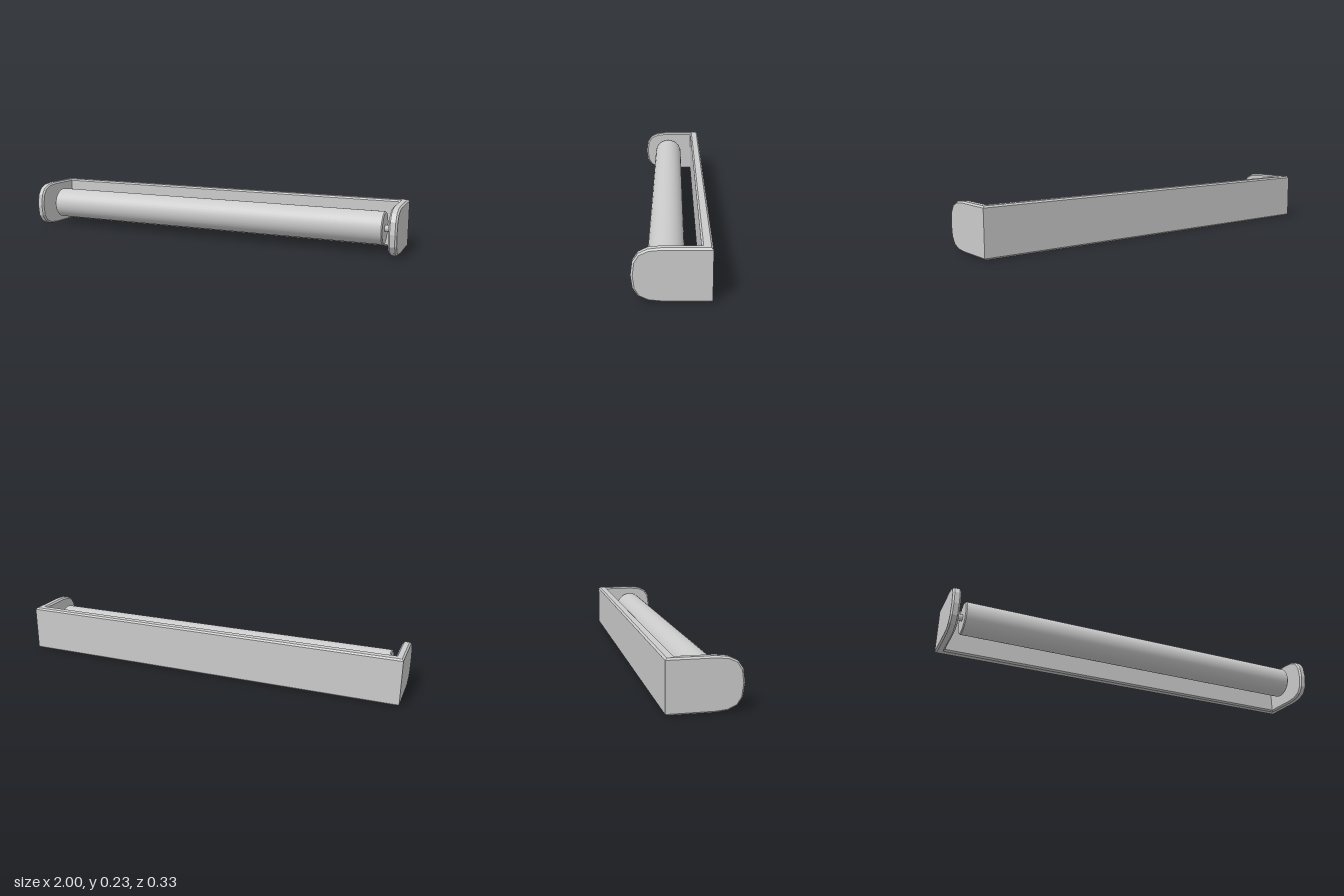
import * as THREE from 'three';
import { toCreasedNormals } from 'three/addons/utils/BufferGeometryUtils.js';

const H = 0.235, B = 0.008, BACK = -0.165;
const material = new THREE.MeshStandardMaterial({ color: 0xcccccc });

// Complete an upper half outline of [z, y] by mirroring it about mid height
const mirrorY = (half) => [
  ...half,
  ...half.filter(([, y]) => y !== H / 2).reverse().map(([z, y]) => [z, H - y]),
];

// Join convex [z, y] outlines placed at rising x, and cap both ends
function loft(rings) {
  const pos = [];
  const tri = (...corners) => corners.forEach(([x, [z, y]]) => pos.push(x, y, z));
  const n = rings[0].pts.length;
  for (let r = 0; r < rings.length - 1; r++) {
    const a = rings[r], b = rings[r + 1];
    for (let i = 0; i < n; i++) {
      const j = (i + 1) % n;
      tri([a.x, a.pts[i]], [a.x, a.pts[j]], [b.x, b.pts[j]]);
      tri([a.x, a.pts[i]], [b.x, b.pts[j]], [b.x, b.pts[i]]);
    }
  }
  const first = rings[0], last = rings[rings.length - 1];
  for (let i = 1; i < n - 1; i++) {
    tri([last.x, last.pts[0]], [last.x, last.pts[i]], [last.x, last.pts[i + 1]]);
    tri([first.x, first.pts[0]], [first.x, first.pts[i + 1]], [first.x, first.pts[i]]);
  }
  const geo = new THREE.BufferGeometry();
  geo.setAttribute('position', new THREE.Float32BufferAttribute(pos, 3));
  geo.computeVertexNormals();
  return geo;
}

// Round bar along x with slightly chamfered ends
function bar(radius, halfLength, chamfer) {
  const profile = [
    [0, -halfLength], [radius - chamfer, -halfLength], [radius, -halfLength + chamfer],
    [radius, halfLength - chamfer], [radius - chamfer, halfLength], [0, halfLength],
  ].map(([x, y]) => new THREE.Vector2(x, y));
  const geo = toCreasedNormals(new THREE.LatheGeometry(profile, 40), 0.5);
  return geo.rotateZ(Math.PI / 2).translate(0, H / 2 + 0.002, 0.025);
}

export function createModel() {
  const model = new THREE.Group();
  const add = (name, geometry) => {
    const mesh = new THREE.Mesh(geometry, material);
    mesh.name = name;
    model.add(mesh);
  };

  // Back plate with chamfered long edges
  const front = -0.118;
  const section = mirrorY([[BACK, H - B], [BACK + B, H], [front - B, H], [front, H - B]]);
  add('backPlate', loft([{ x: -1 + B, pts: section }, { x: 1 - B, pts: section }]));

  // End plates: round-nosed outline, inset on both faces to form the chamfer
  const outer = mirrorY([
    [BACK, H - B], [BACK + B, H], [0.042, H], [0.096, 0.229],
    [0.135, 0.21], [0.158, 0.176], [0.166, H / 2],
  ]);
  const inset = mirrorY([
    [BACK, H - B], [BACK, H - B], [0.041, H - B], [0.093, 0.222],
    [0.13, 0.205], [0.15, 0.173], [0.157, H / 2],
  ]);
  const plate = [
    { x: 0.96, pts: inset }, { x: 0.96 + B, pts: outer },
    { x: 1 - B, pts: outer }, { x: 1, pts: inset },
  ];
  add('leftEndPlate', loft(plate));
  add('rightEndPlate', loft(plate.map(({ x, pts }) => ({ x: -x, pts })).reverse()));

  // Roller and the axle carrying it
  add('roller', bar(0.08, 0.922, 0.005));
  add('axle', bar(0.016, 0.965, 0));

  return model;
}
